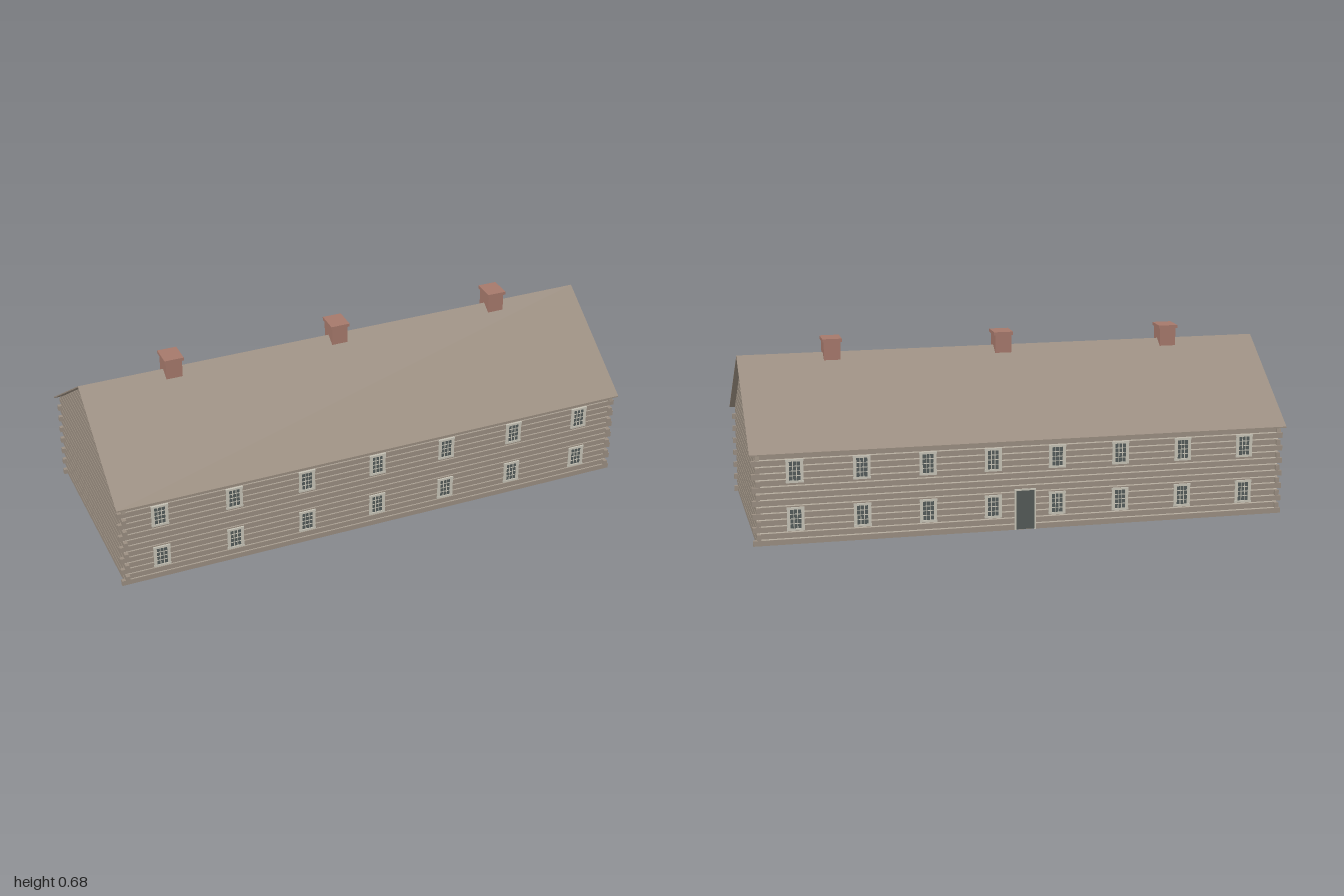
import * as THREE from 'three';

const mat = (name, color) => {
  const m = new THREE.MeshStandardMaterial({ color });
  m.name = name;
  return m;
};

export function createModel() {
  const wood = mat('weathered logs', 0x9a8e81);
  const roofing = mat('roof boards', 0x9a8d80);
  const chink = mat('pale chinking', 0xd0c6b7);
  const brick = mat('chimney brick', 0xa5786b);
  const trim = mat('window trim', 0xc6c3b6);
  const glass = mat('dark glass', 0x535b5a);
  const doorPaint = mat('door paint', 0x535a57);

  const house = new THREE.Group();
  house.name = 'logHouse';

  const group = (name, parent = house) => {
    const g = new THREE.Group();
    g.name = name;
    parent.add(g);
    return g;
  };
  const box = (parent, name, material, w, h, d, x, y, z) => {
    const m = new THREE.Mesh(new THREE.BoxGeometry(w, h, d), material);
    m.name = name;
    m.position.set(x, y, z);
    parent.add(m);
    return m;
  };
  // A (z, y) outline extruded along x, centred on x
  const slab = (parent, name, material, points, depth, x) => {
    const shape = new THREE.Shape(points.map(([z, y]) => new THREE.Vector2(z, y)));
    const geo = new THREE.ExtrudeGeometry(shape, { depth, bevelEnabled: false });
    geo.translate(0, 0, -depth / 2).rotateY(-Math.PI / 2);
    const m = new THREE.Mesh(geo, material);
    m.name = name;
    m.position.x = x;
    parent.add(m);
    return m;
  };

  const PITCH = 0.0243, LOG = 0.0195, THICK = 0.015;
  const rowY = (i) => 0.0125 + i * PITCH;
  const underRoof = (y) => ((0.613 - y) / 0.28) * 0.412;

  // Long walls: every other log runs past the corner
  for (const s of [1, -1]) {
    const wall = group(s > 0 ? 'frontWall' : 'backWall');
    for (let i = 0; i < 14; i++) {
      const half = i % 2 === 0 ? 0.993 : 0.966;
      box(wall, 'log', wood, half * 2, LOG, THICK, 0, rowY(i), s * 0.3875);
    }
    box(wall, 'chinking', chink, 1.94, 0.333, 0.006, 0, 0.1695, s * 0.389);
    box(wall, 'lining', wood, 1.94, 0.338, 0.006, 0, 0.17, s * 0.381);
  }

  // Gable walls: logs shortened to fit under the roof slope
  for (const s of [1, -1]) {
    const wall = group(s > 0 ? 'leftGable' : 'rightGable');
    for (let i = 0; i < 25; i++) {
      const lo = rowY(i) - LOG / 2, hi = rowY(i) + LOG / 2;
      const reach = i > 13 ? 1 : i % 2 ? 0.408 : 0.381;
      const a = Math.min(reach, underRoof(lo)), b = Math.min(reach, underRoof(hi));
      slab(wall, 'log', wood, [[-a, lo], [a, lo], [b, hi], [-b, hi]], THICK, s * 0.9725);
    }
    const gable = (y0, w) => [[-w, y0], [w, y0], [w, 0.339], [0, 0.61], [-w, 0.339]];
    slab(wall, 'chinking', chink, gable(0.003, 0.39), 0.006, s * 0.974);
    slab(wall, 'lining', wood, gable(0.001, 0.384), 0.006, s * 0.966);
  }

  // Roof
  slab(house, 'roof', roofing, [
    [0.412, 0.341], [0, 0.62], [-0.412, 0.341],
    [-0.412, 0.336], [0, 0.615], [0.412, 0.336],
  ], 2, 0);

  // Chimneys run from the ground through the ridge
  for (const x of [-0.65, 0, 0.65]) {
    const chimney = group('chimney');
    box(chimney, 'stack', brick, 0.062, 0.664, 0.074, x, 0.332, 0);
    box(chimney, 'cap', brick, 0.073, 0.012, 0.086, x, 0.669, 0);
  }

  // Sash window with casing and glazing bars, facing +z
  const addWindow = (parent, x, y) => {
    const w = group('window', parent);
    w.position.set(x, y, 0);
    box(w, 'glass', glass, 0.044, 0.07, 0.003, 0, 0, 0.3955);
    for (const s of [1, -1]) {
      box(w, 'sideCasing', trim, 0.011, 0.084, 0.006, s * 0.0255, 0, 0.397);
      box(w, 'headOrSill', trim, 0.064, 0.008, 0.007, 0, s * 0.039, 0.3975);
    }
    for (const bx of [-0.0067, 0.0067]) {
      box(w, 'verticalBar', trim, 0.0025, 0.072, 0.002, bx, 0, 0.3975);
    }
    for (const by of [-0.0175, 0, 0.0175]) {
      box(w, 'crossBar', trim, 0.042, 0.0025, 0.002, 0, by, 0.3975);
    }
  };

  const front = group('frontWindows');
  const back = group('backOpenings');
  back.rotation.y = Math.PI;
  for (const y of [0.097, 0.273]) {
    for (let k = -3; k <= 3; k++) addWindow(front, k * 0.28, y);
    for (let k = 0; k < 8; k++) addWindow(back, -0.84 + k * 0.24, y);
  }

  // Back door with thin casing
  box(back, 'door', doorPaint, 0.068, 0.146, 0.004, 0, 0.078, 0.396);
  for (const s of [1, -1]) {
    box(back, 'doorCasing', trim, 0.006, 0.152, 0.006, s * 0.037, 0.079, 0.397);
  }
  box(back, 'doorHead', trim, 0.08, 0.006, 0.006, 0, 0.154, 0.397);

  return house;
}
